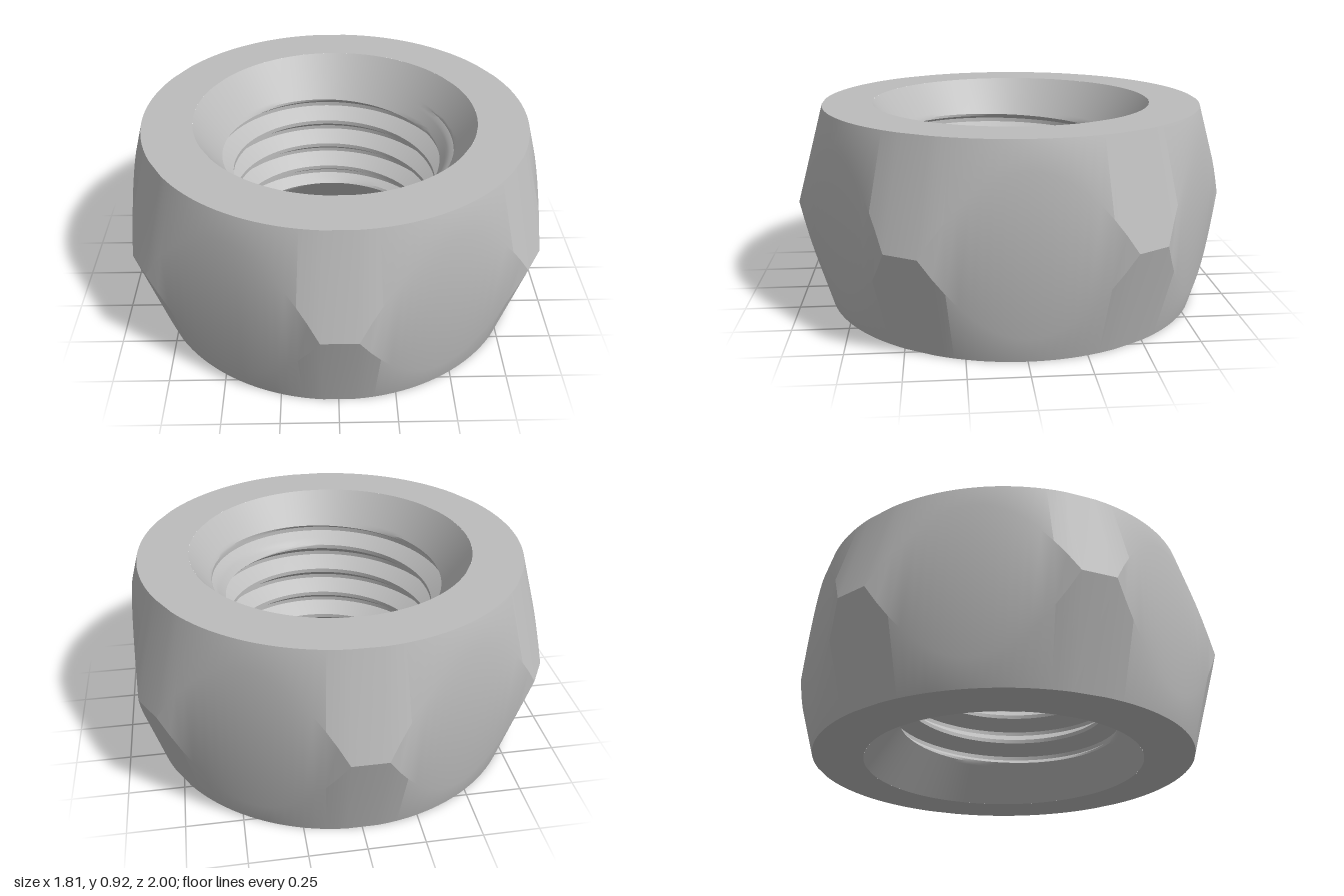
import * as THREE from 'three';
import { toCreasedNormals } from 'three/addons/utils/BufferGeometryUtils.js';

const HEIGHT = 0.92;
const MID = HEIGHT / 2;
const APOTHEM = 0.905;      // centre to each flat
const RIM = 0.873;          // outer edge of the end faces
const WIDEST = 1.0032;      // chamfer radius at mid height
const SINK = 0.645;         // mouth of the countersink
const MINOR = 0.478, MAJOR = 0.55, PITCH = 0.14;

// Joins neighbouring columns of [radius, y] points around the y axis.
function skin(columns) {
  const pos = [];
  const at = ({ angle, points }, j) => new THREE.Vector3(
    points[j][0] * Math.cos(angle), points[j][1], -points[j][0] * Math.sin(angle));
  const tri = (a, b, c) => {
    const area = b.clone().sub(a).cross(c.clone().sub(a)).length();
    if (area > 1e-8) for (const p of [a, b, c]) pos.push(p.x, p.y, p.z);
  };
  for (let i = 0; i < columns.length - 1; i++) {
    const p = columns[i], q = columns[i + 1];
    for (let j = 0; j < p.points.length - 1; j++) {
      const a = at(p, j), b = at(q, j), c = at(q, j + 1), d = at(p, j + 1);
      tri(a, b, c);
      tri(a, c, d);
    }
  }
  const g = new THREE.BufferGeometry();
  g.setAttribute('position', new THREE.Float32BufferAttribute(pos, 3));
  return toCreasedNormals(g, 0.45);
}

// Hexagonal prism trimmed by a cone at each end, with its ring-shaped end faces.
function bodyGeometry() {
  const columns = [];
  const half = Math.acos(APOTHEM / WIDEST);
  const steps = 18;
  for (let side = 0; side < 6; side++) {
    for (let i = 0; i <= steps; i++) {
      const local = half * (2 * i / steps - 1);
      const r = APOTHEM / Math.cos(local);
      const y = MID * (r - RIM) / (WIDEST - RIM);
      columns.push({
        angle: side * Math.PI / 3 + local,
        points: [[SINK, 0], [RIM, 0], [r, y], [r, HEIGHT - y], [RIM, HEIGHT], [SINK, HEIGHT]],
      });
    }
  }
  columns.push({ angle: columns[0].angle + Math.PI * 2, points: columns[0].points });
  return skin(columns);
}

// Helical thread that runs out into the countersink at both ends.
function boreGeometry() {
  const profile = [[0, MINOR], [0.14, MINOR], [0.5, MAJOR], [0.64, MAJOR], [1, MINOR]];
  const phases = [];
  for (let k = 0; k < profile.length - 1; k++) {
    const [t0, r0] = profile[k], [t1, r1] = profile[k + 1];
    for (let s = 0; s < 4; s++) {
      phases.push([t0 + (t1 - t0) * s / 4, r0 + (r1 - r0) * s / 4]);
    }
  }
  const turns = Math.ceil(HEIGHT / PITCH) + 1;
  const columns = [];
  const around = 96;
  for (let i = 0; i <= around; i++) {
    const points = [];
    for (let turn = -1; turn < turns; turn++) {
      for (const [t, thread] of phases) {
        const y = THREE.MathUtils.clamp(PITCH * (turn + t + i / around), 0, HEIGHT);
        const sink = SINK - 0.7 * Math.min(y, HEIGHT - y);
        points.push([Math.max(thread, sink), y]);
      }
    }
    columns.push({ angle: i / around * Math.PI * 2, points: points.reverse() });
  }
  return skin(columns);
}

export function createModel() {
  const steel = new THREE.MeshStandardMaterial({ color: 0xbcbcbc });
  steel.name = 'steel grey';

  const nut = new THREE.Group();
  nut.name = 'hexNut';
  const parts = { chamferedBody: bodyGeometry(), threadedBore: boreGeometry() };
  for (const [name, geometry] of Object.entries(parts)) {
    const mesh = new THREE.Mesh(geometry, steel);
    mesh.name = name;
    nut.add(mesh);
  }
  return nut;
}
